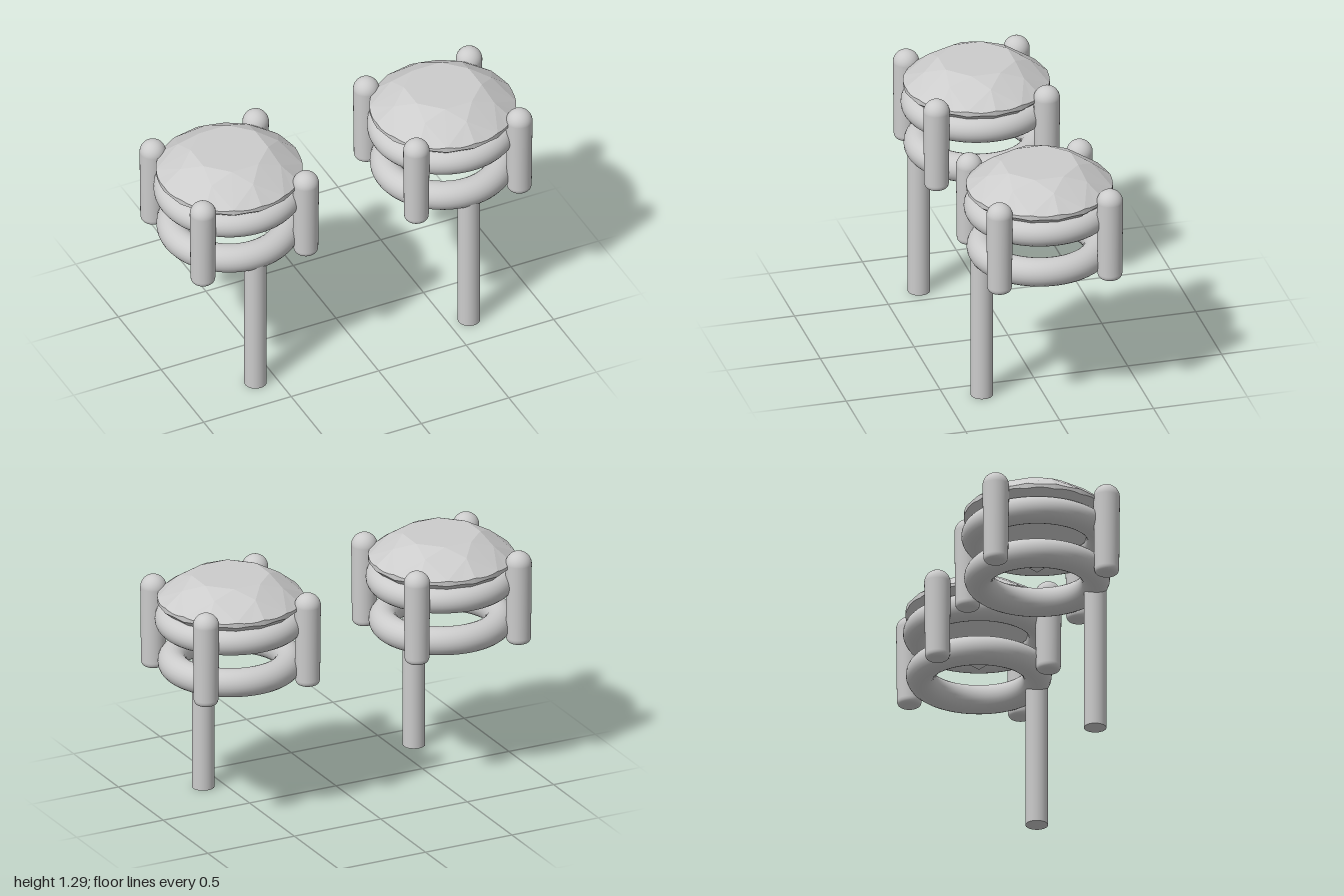
import * as THREE from 'three';

const metal = new THREE.MeshStandardMaterial({ color: 0xcccccc });
const gem = new THREE.MeshStandardMaterial({ color: 0xcccccc, flatShading: true });

function addMesh(parent, name, geometry, material, x = 0, y = 0, z = 0) {
  const mesh = new THREE.Mesh(geometry, material);
  mesh.name = name;
  mesh.position.set(x, y, z);
  parent.add(mesh);
  return mesh;
}

// Round brilliant cut: table, stars, kites, girdle and pavilion, in eighths
function brilliantGeometry() {
  const positions = [];
  const centre = new THREE.Vector3(0, 1.12, 0);
  const step = Math.PI / 8;
  const at = (r, y, k) => new THREE.Vector3(r * Math.sin(k * step), y, r * Math.cos(k * step));

  // Adds a triangle facing away from the stone's centre
  const tri = (a, b, c) => {
    const normal = b.clone().sub(a).cross(c.clone().sub(a));
    const outward = a.clone().add(b).add(c).divideScalar(3).sub(centre);
    const corners = normal.dot(outward) > 0 ? [a, b, c] : [a, c, b];
    corners.forEach((p) => positions.push(p.x, p.y, p.z));
  };

  // Scalloped girdle edges
  const wave = (k) => 0.007 * Math.abs(Math.sin(k * Math.PI));
  const upper = (k) => at(0.377, 1.177 - wave(k), k);
  const lower = (k) => at(0.377, 1.147 + wave(k), k);

  const tableCentre = at(0, 1.293, 0);
  const culet = at(0, 0.845, 0);
  const table = (k) => at(0.2, 1.293, k);
  const star = (k) => at(0.28, 1.253, k);
  const pavilion = (k) => at(0.08, 0.903, k);

  for (let k = 0; k < 16; k += 2) {
    tri(tableCentre, table(k - 1), table(k + 1));
    tri(table(k - 1), table(k + 1), star(k));
    // Kite and pavilion main
    tri(table(k + 1), star(k), upper(k + 1));
    tri(table(k + 1), star(k + 2), upper(k + 1));
    tri(culet, pavilion(k), lower(k + 1));
    tri(culet, pavilion(k + 2), lower(k + 1));
    // Girdle facets on both sides of the star point
    for (let i = -4; i < 4; i++) {
      const a = k + i / 4;
      const b = k + (i + 1) / 4;
      tri(star(k), upper(a), upper(b));
      tri(pavilion(k), lower(a), lower(b));
      tri(upper(a), upper(b), lower(a));
      tri(upper(b), lower(a), lower(b));
    }
  }
  const geometry = new THREE.BufferGeometry();
  geometry.setAttribute('position', new THREE.Float32BufferAttribute(positions, 3));
  geometry.computeVertexNormals();
  return geometry;
}

// Slightly tapered prong with a domed tip and a softened foot
function prongGeometry() {
  const path = new THREE.Path();
  path.moveTo(0, 0.737);
  path.lineTo(0.035, 0.737);
  path.quadraticCurveTo(0.063, 0.737, 0.064, 0.768);
  path.lineTo(0.068, 1.172);
  path.absarc(0, 1.172, 0.068, 0, Math.PI / 2, false);
  return new THREE.LatheGeometry(path.getPoints(10), 32);
}

function createEarring(name) {
  const earring = new THREE.Group();
  earring.name = name;

  addMesh(earring, 'stone', brilliantGeometry(), gem);

  // Basket rings
  const upperRing = new THREE.TorusGeometry(0.32, 0.07, 24, 80).rotateX(Math.PI / 2);
  const lowerRing = new THREE.TorusGeometry(0.3, 0.075, 24, 80).rotateX(Math.PI / 2);
  addMesh(earring, 'upperRing', upperRing, metal, 0, 1.05, 0);
  addMesh(earring, 'lowerRing', lowerRing, metal, 0, 0.815, 0);

  // Four prongs on the diagonals
  const prong = prongGeometry();
  for (const x of [-0.294, 0.294]) {
    for (const z of [-0.294, 0.294]) addMesh(earring, 'prong', prong, metal, x, 0, z);
  }

  // Post under the front of the lower ring
  addMesh(earring, 'post', new THREE.CylinderGeometry(0.058, 0.058, 0.81, 32), metal, 0, 0.405, 0.307);
  return earring;
}

export function createModel() {
  const model = new THREE.Group();
  model.name = 'studEarrings';
  for (const side of [-1, 1]) {
    const earring = createEarring(side > 0 ? 'leftEarring' : 'rightEarring');
    earring.position.x = side * 0.61;
    model.add(earring);
  }
  return model;
}
